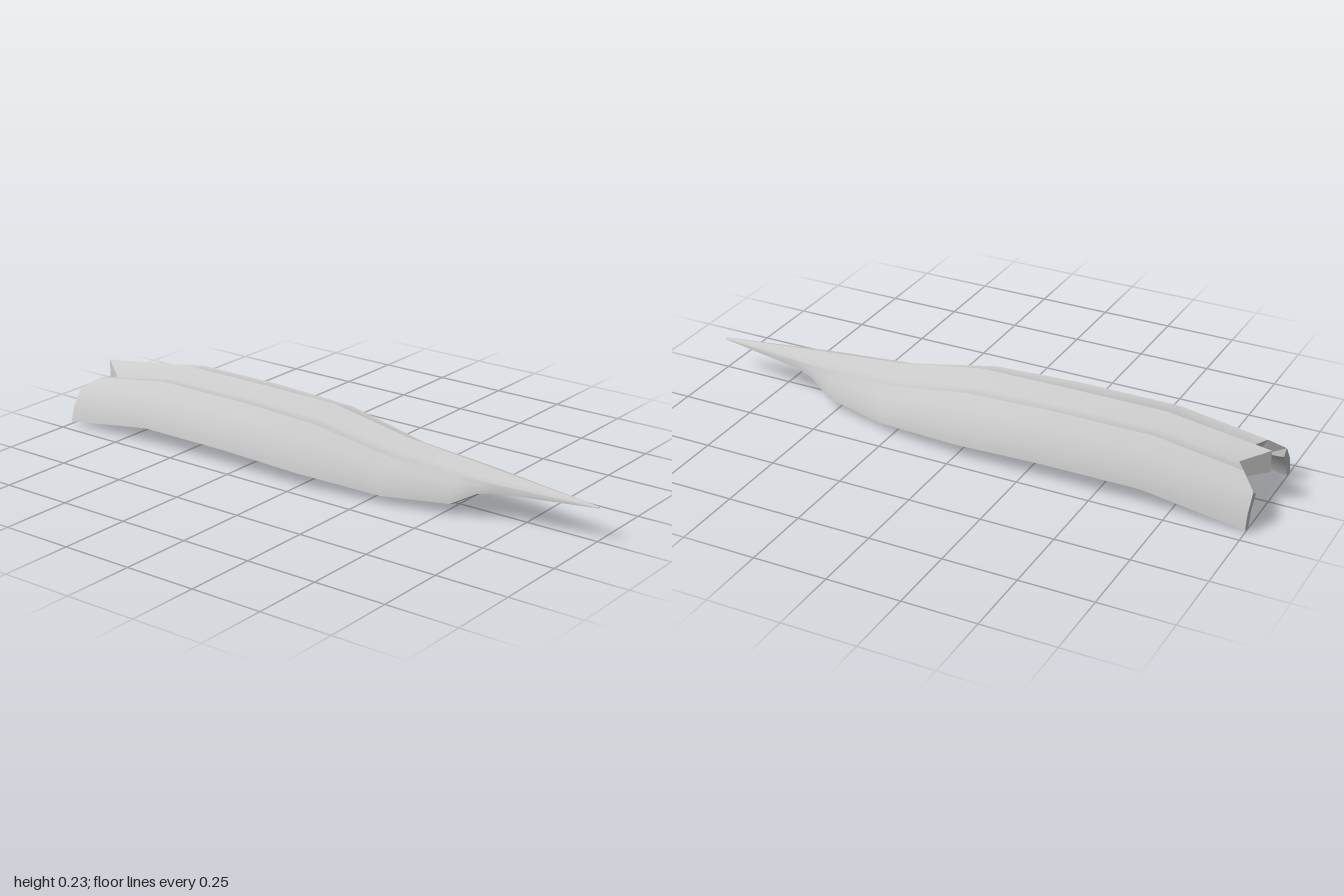
import * as THREE from 'three';

// Half cross-sections along the length:
// z, ridge y, valley [x, y], shoulder [x, y], lower edge [x, y], wall thickness factor
const stations = [
  [-1.00, 0.185, [0.053, 0.152], [0.107, 0.157], [0.204, 0.010], 1],
  [-0.65, 0.235, [0.053, 0.197], [0.108, 0.203], [0.204, 0.061], 1],
  [-0.30, 0.235, [0.053, 0.197], [0.108, 0.203], [0.204, 0.060], 1],
  [0.00, 0.232, [0.052, 0.188], [0.106, 0.191], [0.202, 0.050], 1],
  [0.30, 0.180, [0.044, 0.143], [0.088, 0.138], [0.156, 0.030], 0.9],
  [0.53, 0.160, [0.035, 0.133], [0.070, 0.129], [0.104, 0.042], 0.65],
  [0.61, 0.153, [0.030, 0.130], [0.062, 0.126], [0.073, 0.085], 0.45],
  [0.67, 0.147, [0.026, 0.128], [0.053, 0.124], [0.058, 0.097], 0.35],
  [1.00, 0.116, [0.002, 0.115], [0.005, 0.114], [0.006, 0.112], 0.04],
];
// Offsets from the outer to the inner surface, ridge to lower edge
const inset = [[0, -0.075], [0, -0.06], [-0.012, -0.045], [-0.025, -0.02], [-0.03, -0.006], [-0.028, -0.008]];
// Notched back edge: forward shift of each point of the last section
const notch = [0, 0.085, 0.05, 0, 0, 0];

// Closed loop: outer points from the ridge down, then inner points back up
function section([z, ridge, valley, shoulder, edge, t], first) {
  const between = (fx, fy) => [
    shoulder[0] + (edge[0] - shoulder[0]) * fx,
    shoulder[1] + (edge[1] - shoulder[1]) * fy,
  ];
  const outer = [[0, ridge], valley, shoulder, between(0.45, 0.27), between(0.86, 0.65), edge];
  const place = (x, y, j) => new THREE.Vector3(x, y, z + (first ? notch[j] : 0));
  const out = outer.map(([x, y], j) => place(x, y, j));
  const inn = outer.map(([x, y], j) => place(Math.max(0, x + inset[j][0] * t), y + inset[j][1] * t, j));
  return [...out, ...inn.reverse()];
}

// Skin over a grid of points, smooth inside and sharp at its borders
function skin(rows, side, flat) {
  const n = rows[0].length;
  const index = [];
  for (let i = 0; i < rows.length - 1; i++) {
    for (let j = 0; j < n - 1; j++) {
      const a = i * n + j, b = a + n, c = b + 1, d = a + 1;
      if (side > 0) index.push(a, b, c, a, c, d);
      else index.push(a, c, b, a, d, c);
    }
  }
  let geometry = new THREE.BufferGeometry().setFromPoints(
    rows.flat().map((p) => new THREE.Vector3(p.x * side, p.y, p.z)));
  geometry.setIndex(index);
  if (flat) geometry = geometry.toNonIndexed();
  geometry.computeVertexNormals();
  return geometry;
}

export function createModel() {
  const model = new THREE.Group();
  model.name = 'taperedShell';
  const material = new THREE.MeshStandardMaterial({ color: 0xcccccc });
  const loops = stations.map((s, i) => section(s, i === 0));

  // Panels as column ranges of the loop, split at the sharp edges
  const panels = [
    ['ridgePanel', 0, 2],
    ['sidePanel', 2, 5],
    ['lowerRim', 5, 6],
    ['innerSidePanel', 6, 9],
    ['undersidePanel', 9, 11],
  ];
  for (const side of [1, -1]) {
    const half = new THREE.Group();
    half.name = side > 0 ? 'leftHalf' : 'rightHalf';
    const add = (name, geometry) => {
      const mesh = new THREE.Mesh(geometry, material);
      mesh.name = name;
      half.add(mesh);
    };
    for (const [name, from, to] of panels) {
      add(name, skin(loops.map((l) => l.slice(from, to + 1)), side));
    }
    // Walls closing the back edge and the tip
    const outer = (l) => l.slice(0, 6);
    const inner = (l) => l.slice(6).reverse();
    const tip = loops[loops.length - 1];
    add('backEdge', skin([inner(loops[0]), outer(loops[0])], side, true));
    add('tipEdge', skin([outer(tip), inner(tip)], side, true));
    model.add(half);
  }
  return model;
}
